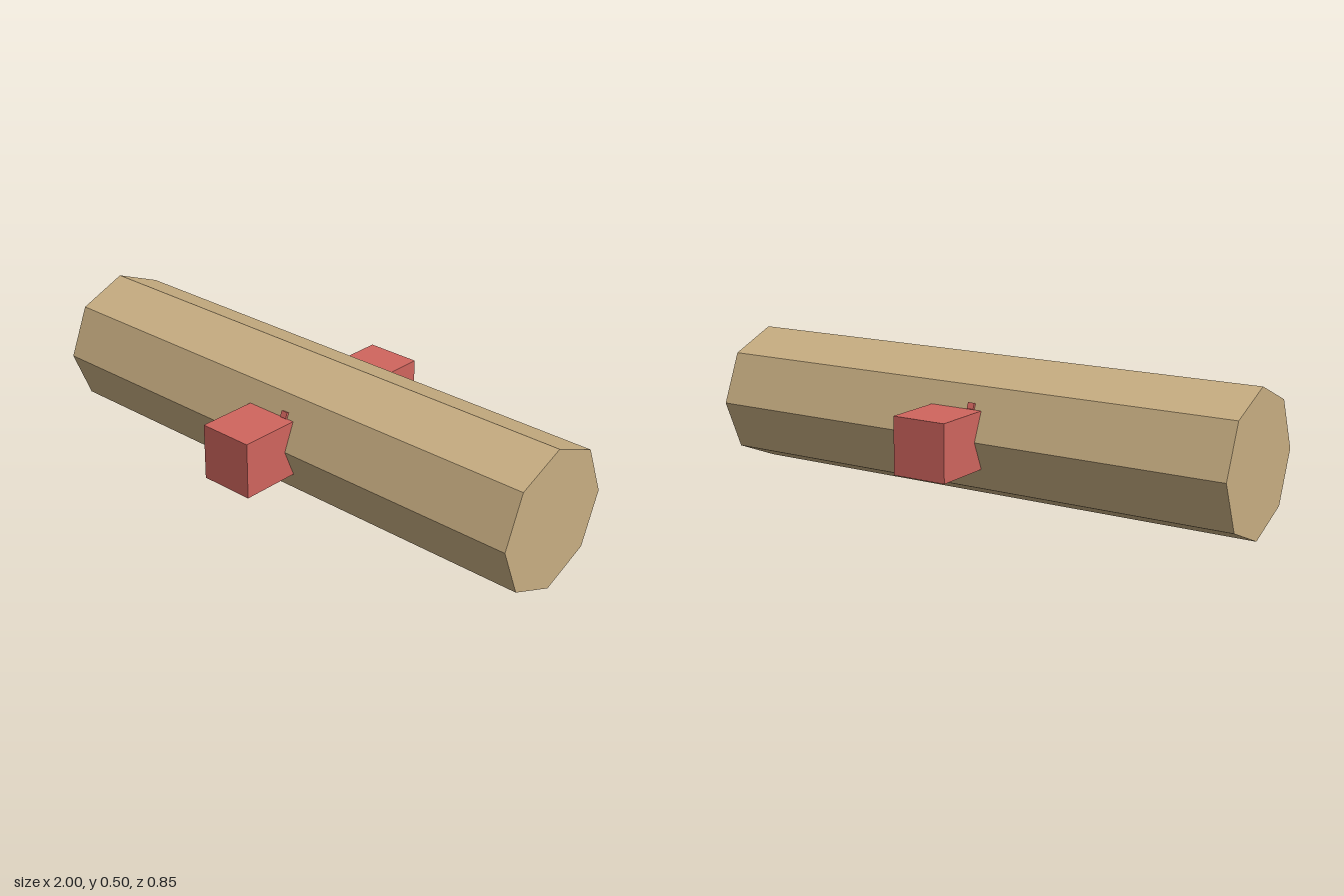
import * as THREE from 'three';

function material(color) {
  return new THREE.MeshStandardMaterial({ color, flatShading: true });
}

export function createModel() {
  const model = new THREE.Group();
  const wood = material(0xc8ae82);
  const red = material(0xd0655e);

  function add(name, geometry, mat, x, y, z) {
    const mesh = new THREE.Mesh(geometry, mat);
    mesh.name = name;
    mesh.position.set(x, y, z);
    model.add(mesh);
    return mesh;
  }

  // Eight-sided log lying along x, resting on one of its long edges
  const log = add('log', new THREE.CylinderGeometry(0.25, 0.25, 2, 8), wood, 0, 0.25, 0);
  log.rotation.z = Math.PI / 2;

  // Square peg passing through the log
  add('peg', new THREE.BoxGeometry(0.2, 0.2, 0.85), red, 0, 0.25, 0);

  // Small splinters where the peg leaves the log, above and below
  for (const side of [1, -1]) {
    for (const up of [1, -1]) {
      const splinter = add('splinter', new THREE.BoxGeometry(0.025, 0.022, 0.018), red,
        0.06 * up * side, 0.25 + 0.11 * up, 0.204 * side);
      splinter.rotation.x = -Math.PI / 8 * up * side;
    }
  }
  return model;
}
